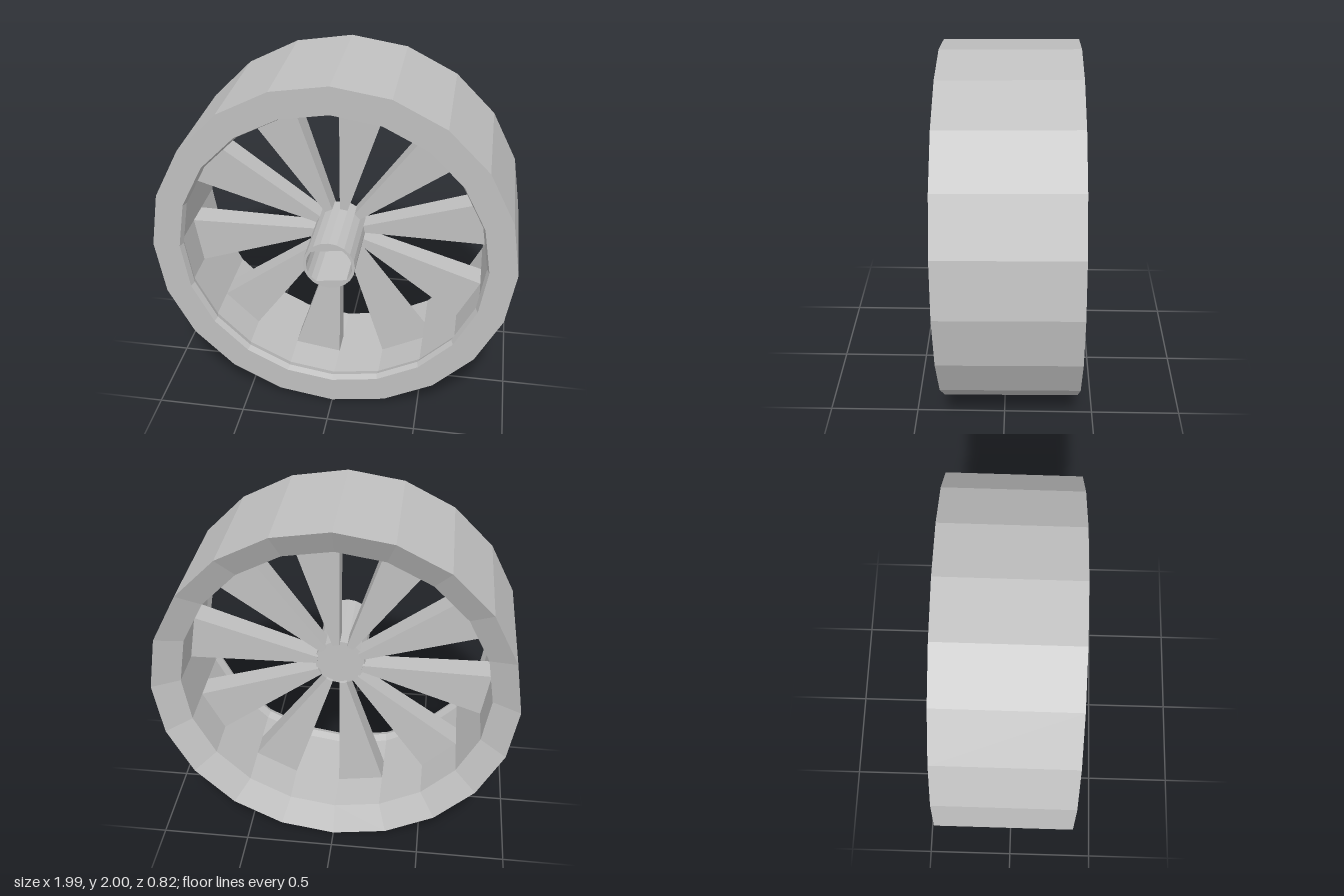
import * as THREE from 'three';

const SIDES = 20;
const STEP = (Math.PI * 2) / SIDES;

const flat = (geometry) => {
  const g = geometry.index ? geometry.toNonIndexed() : geometry;
  g.computeVertexNormals();
  return g;
};

const polar = (r, a) => new THREE.Vector2(r * Math.cos(a), r * Math.sin(a));

// Round bore with two parallel flats, slightly turned
function boreOutline() {
  const r = 0.125, turn = 0.14, half = Math.asin(0.093 / r), pts = [];
  for (const side of [0, Math.PI]) {
    for (let i = 0; i <= 6; i++) pts.push(polar(r, turn + side - half + (i / 6) * 2 * half));
  }
  return pts;
}

export function createModel() {
  const grey = new THREE.MeshStandardMaterial({ color: 0xc0c0c0 });
  grey.name = 'plain grey';
  const wheel = new THREE.Group();
  wheel.name = 'wheel';
  const add = (parent, name, geometry) => {
    const mesh = new THREE.Mesh(geometry, grey);
    mesh.name = name;
    parent.add(mesh);
    return mesh;
  };

  // Rim: closed profile (radius, depth) with a dished back and a small ridge at the front
  const profile = [
    [0.85, -0.32], [0.996, -0.4], [0.996, 0.34], [0.845, 0.34],
    [0.832, 0.305], [0.85, 0.26], [0.85, -0.32],
  ].map(([r, z]) => new THREE.Vector2(r, z));
  add(wheel, 'rim', flat(new THREE.LatheGeometry(profile, SIDES).rotateX(Math.PI / 2)));

  // Spokes: wedges with radial edges, a little thinner at the hub
  const inner = 0.13, outer = 0.852;
  const wedge = new THREE.Shape([polar(inner, 0), polar(outer, 0), polar(outer, STEP), polar(inner, STEP)]);
  const spokeGeometry = new THREE.ExtrudeGeometry(wedge, { depth: 1, bevelEnabled: false });
  const p = spokeGeometry.attributes.position;
  for (let i = 0; i < p.count; i++) {
    const t = (Math.hypot(p.getX(i), p.getY(i)) - inner) / (outer - inner);
    p.setZ(i, (p.getZ(i) - 0.5) * (0.11 + 0.04 * t) - 0.015);
  }
  const spokes = new THREE.Group();
  spokes.name = 'spokes';
  wheel.add(spokes);
  const spokeFlat = flat(spokeGeometry);
  for (let k = 0; k < SIDES / 2; k++) {
    add(spokes, 'spoke', spokeFlat).rotation.z = k * 2 * STEP;
  }

  // Hub: tube with a flatted bore, closed near the back
  const hubPoints = Array.from({ length: SIDES }, (_, i) => polar(0.141, i * STEP));
  const hubShape = new THREE.Shape(hubPoints);
  hubShape.holes.push(new THREE.Path(boreOutline()));
  add(wheel, 'hub', flat(new THREE.ExtrudeGeometry(hubShape, { depth: 0.455, bevelEnabled: false }))).position.z = -0.05;
  const floor = new THREE.ExtrudeGeometry(new THREE.Shape(boreOutline()), { depth: 0.008, bevelEnabled: false });
  add(wheel, 'hubFloor', flat(floor)).position.z = -0.05;

  // The wheel leans very slightly forward
  wheel.rotation.x = 0.0105;
  wheel.position.y = 1;
  const model = new THREE.Group();
  model.name = 'spokedWheel';
  model.add(wheel);
  return model;
}
